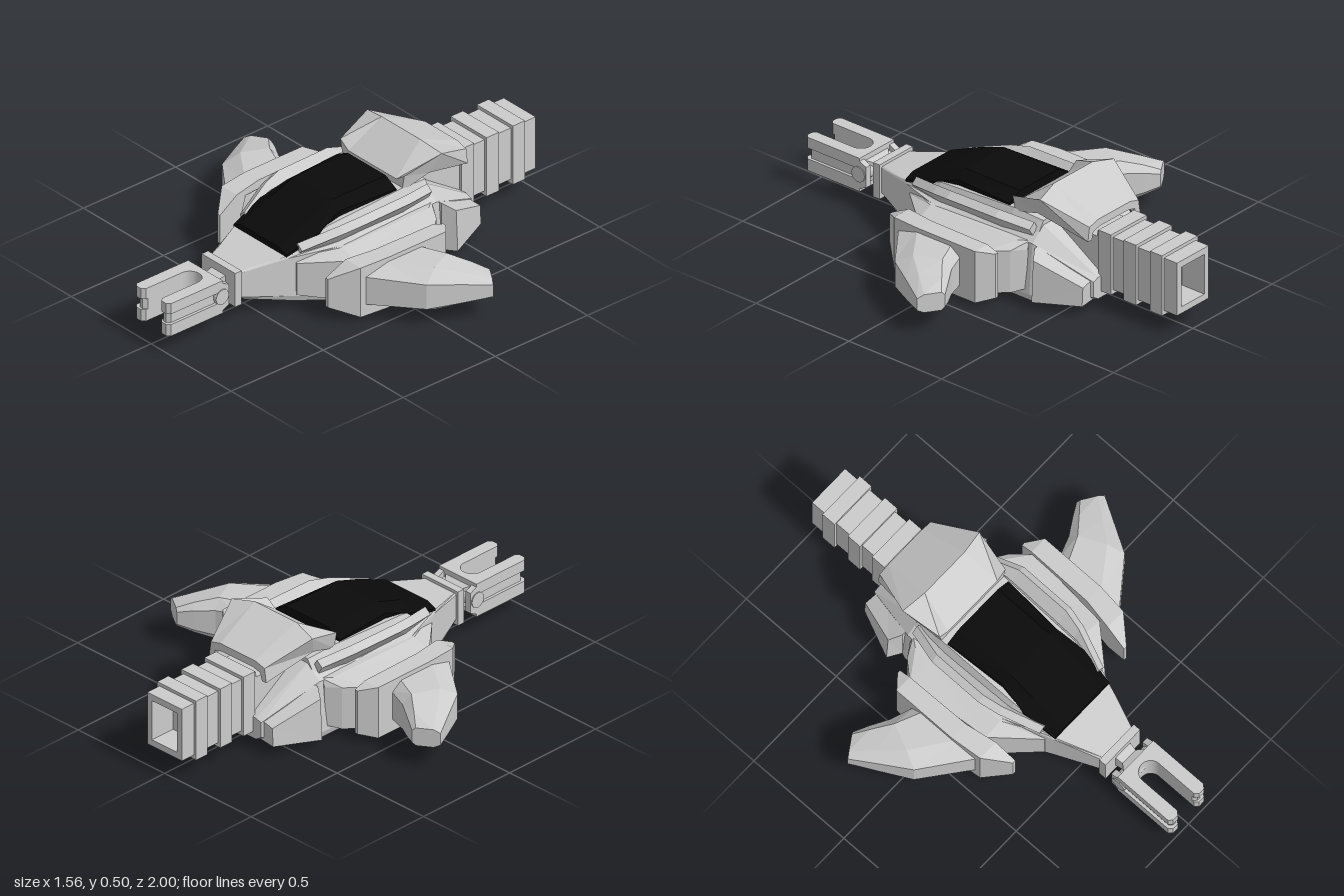
import * as THREE from 'three';

const grey = new THREE.MeshStandardMaterial({ color: 0xcccccc, flatShading: true, side: THREE.DoubleSide });
const black = new THREE.MeshStandardMaterial({ color: 0x0a0a0a, flatShading: true, side: THREE.DoubleSide });

// Joins matching closed sections (even point count) into a faceted solid with capped ends
function loft(sections) {
  const tris = [];
  const quad = (a, b, c, d) => tris.push(a, b, c, a, c, d);
  const n = sections[0].length;
  for (let k = 0; k < sections.length - 1; k++) {
    const p = sections[k], q = sections[k + 1];
    for (let i = 0; i < n; i++) quad(p[i], p[(i + 1) % n], q[(i + 1) % n], q[i]);
  }
  const first = sections[0], last = sections[sections.length - 1];
  for (let i = 0; i < n / 2 - 1; i++) {
    const j = n - 1 - i;
    quad(first[i], first[j], first[j - 1], first[i + 1]);
    quad(last[i], last[i + 1], last[j - 1], last[j]);
  }
  // Turn the faces outward if the volume comes out negative
  const v = tris.map((p) => new THREE.Vector3(...p));
  let volume = 0;
  const cross = new THREE.Vector3();
  for (let i = 0; i < v.length; i += 3) volume += v[i].dot(cross.crossVectors(v[i + 1], v[i + 2]));
  if (volume < 0) for (let i = 0; i < v.length; i += 3) [v[i + 1], v[i + 2]] = [v[i + 2], v[i + 1]];
  const g = new THREE.BufferGeometry().setFromPoints(v);
  g.computeVertexNormals();
  return g;
}

// Symmetric section at z from the right half of its outline, listed bottom to top
const mirrored = (z, half) => [
  ...half.map(([x, y]) => [x, y, z]),
  ...half.slice().reverse().map(([x, y]) => [-x, y, z]),
];
// Four-cornered section at z
const rect = (z, x0, x1, y0, y1) => [[x0, y0, z], [x1, y0, z], [x1, y1, z], [x0, y1, z]];

export function createModel() {
  const model = new THREE.Group();
  const add = (name, geometry, material = grey, parent = model) => {
    const mesh = new THREE.Mesh(geometry, material);
    mesh.name = name;
    parent.add(mesh);
    return mesh;
  };
  const box = (name, x0, x1, y0, y1, z0, z1, parent) => add(name,
    new THREE.BoxGeometry(x1 - x0, y1 - y0, z1 - z0)
      .translate((x0 + x1) / 2, (y0 + y1) / 2, (z0 + z1) / 2), grey, parent);

  // Hull with a flat keel, tapering to the nose
  add('hull', loft([
    mirrored(0.61, [[0.08, 0.1], [0.09, 0.11], [0.09, 0.22], [0.08, 0.225]]),
    mirrored(0.4, [[0.16, 0.045], [0.17, 0.07], [0.17, 0.25], [0.165, 0.26]]),
    mirrored(0.18, [[0.25, 0], [0.26, 0.03], [0.25, 0.26], [0.21, 0.27]]),
    mirrored(-0.34, [[0.25, 0], [0.26, 0.03], [0.24, 0.26], [0.17, 0.32]]),
    mirrored(-0.6, [[0.13, 0.05], [0.16, 0.07], [0.16, 0.14], [0.13, 0.15]]),
  ]));

  // Cabin walls under the canopy
  add('cabin', loft([
    mirrored(0.4, [[0.17, 0.245], [0.16, 0.265]]),
    mirrored(0.2, [[0.22, 0.26], [0.185, 0.335]]),
    mirrored(-0.2, [[0.23, 0.26], [0.19, 0.36]]),
    mirrored(-0.34, [[0.22, 0.26], [0.17, 0.34]]),
  ]));

  // Faceted dark canopy
  add('canopy', loft([
    mirrored(0.41, [[0.165, 0.255], [0.165, 0.265], [0.12, 0.285]]),
    mirrored(0.25, [[0.185, 0.3], [0.185, 0.32], [0.12, 0.355]]),
    mirrored(0.12, [[0.165, 0.31], [0.165, 0.365], [0.12, 0.4]]),
    mirrored(-0.17, [[0.185, 0.31], [0.185, 0.365], [0.12, 0.4]]),
  ]), black);

  // Bent cowl behind the canopy, hollow underneath
  const cowl = (z, outer, inner) => {
    const span = (half) => [
      ...half.map(([x, y, dz = 0]) => [-x, y, z + dz]),
      ...half.slice().reverse().map(([x, y, dz = 0]) => [x, y, z + dz]),
    ];
    return [...span(outer), ...span(inner).reverse()];
  };
  add('rearCowl', loft([
    cowl(-0.2, [[0.185, 0.34], [0.2, 0.42], [0.15, 0.385]], [[0.17, 0.34], [0.165, 0.36], [0.13, 0.35]]),
    cowl(-0.355, [[0.2, 0.385, 0.02], [0.233, 0.475, -0.02], [0.12, 0.5]],
      [[0.18, 0.385, 0.02], [0.2, 0.445, -0.02], [0.11, 0.465]]),
    cowl(-0.575, [[0.165, 0.32], [0.155, 0.385], [0.1, 0.4]], [[0.14, 0.32], [0.13, 0.355], [0.09, 0.365]]),
  ]));

  for (const s of [1, -1]) {
    const side = new THREE.Group();
    side.name = s > 0 ? 'leftSide' : 'rightSide';
    model.add(side);
    const sideLoft = (name, sections) =>
      add(name, loft(sections.map((sec) => sec.map(([x, y, z]) => [s * x, y, z]))), grey, side);

    // Flared rail beside the canopy
    const rail = (z, x, y, w, h) => [[x, y, z], [x + w, y + h, z], [x + w - 0.03, y + h + 0.025, z], [x - 0.03, y + 0.025, z]];
    sideLoft('canopyRail', [
      rail(0.35, 0.175, 0.255, 0.02, 0.02), rail(0.18, 0.22, 0.265, 0.04, 0.055),
      rail(0.09, 0.22, 0.265, 0.06, 0.07), rail(-0.17, 0.22, 0.265, 0.06, 0.075),
      rail(-0.32, 0.21, 0.275, 0.025, 0.04),
    ]);

    // Shoulder joining hull and wing
    const shoulder = (z, x, y0, y1, top) => [[0.12, y0, z], [x, y0, z], [x, y1, z], [Math.min(x - 0.02, 0.26), top, z], [0.12, top, z], [0.12, (y0 + y1) / 2, z]];
    sideLoft('shoulder', [
      shoulder(0.37, 0.185, 0.07, 0.22, 0.24), shoulder(0.19, 0.345, 0.04, 0.235, 0.26),
      shoulder(-0.2, 0.38, 0.04, 0.235, 0.265), shoulder(-0.28, 0.31, 0.04, 0.235, 0.265),
      shoulder(-0.32, 0.25, 0.05, 0.23, 0.265),
    ]);

    // Band around the wing root, pointed at the front
    sideLoft('wingBand', [
      rect(0.34, 0.33, 0.345, 0.07, 0.205), rect(0.24, 0.34, 0.435, 0.025, 0.26),
      rect(0.1, 0.365, 0.45, 0.025, 0.265), rect(-0.21, 0.37, 0.45, 0.025, 0.265),
      rect(-0.265, 0.37, 0.385, 0.04, 0.245),
    ]);

    // Swept wing: leading and trailing points, half height, edge half height, chamfer
    const wing = (xf, zf, xb, zb, h, e, c) => {
      const at = (t, y) => [xf + (xb - xf) * t, 0.143 + y, zf + (zb - zf) * t];
      return [at(0, -e), at(c, -h), at(1 - c / 2, -h), at(1, -e), at(1, e), at(1 - c / 2, h), at(c, h), at(0, e)];
    };
    sideLoft('wing', [
      wing(0.43, 0.22, 0.43, -0.12, 0.102, 0.065, 0.3),
      wing(0.64, 0.06, 0.54, -0.16, 0.1, 0.058, 0.32),
      wing(0.71, -0.06, 0.62, -0.21, 0.072, 0.045, 0.3),
      wing(0.78, -0.18, 0.68, -0.245, 0.042, 0.028, 0.25),
    ]);

    // Angled pod at the stern
    sideLoft('sternPod', [
      [[0.12, 0.03, -0.36], [0.25, 0.03, -0.36], [0.25, 0.25, -0.36], [0.12, 0.25, -0.36]],
      [[0.12, 0.03, -0.39], [0.31, 0.035, -0.395], [0.3, 0.225, -0.395], [0.12, 0.25, -0.39]],
      [[0.1, 0.05, -0.58], [0.225, 0.05, -0.595], [0.22, 0.135, -0.595], [0.1, 0.15, -0.58]],
    ]);
  }

  // Ribbed square exhaust duct with an open end
  const duct = new THREE.Group();
  duct.name = 'exhaustDuct';
  model.add(duct);
  box('ductCore', -0.1, 0.1, 0.1, 0.32, -0.59, -0.32, duct);
  box('ductBody', -0.1, 0.1, 0.1, 0.345, -0.88, -0.57, duct);
  for (const z of [-0.655, -0.79, -0.93]) {
    if (z > -0.9) box('ductRib', -0.113, 0.113, 0.08, 0.36, z, z + 0.068, duct);
  }
  const frame = (w, y0, y1) => {
    const hole = new THREE.Path([[-0.072, 0.13], [-0.072, 0.315], [0.072, 0.315], [0.072, 0.13]].map((p) => new THREE.Vector2(...p)));
    const shape = new THREE.Shape([[-w, y0], [w, y0], [w, y1], [-w, y1]].map((p) => new THREE.Vector2(...p)));
    shape.holes.push(hole);
    return shape;
  };
  add('ductMouth', new THREE.ExtrudeGeometry(frame(0.1, 0.1, 0.345), { depth: 0.13, bevelEnabled: false })
    .translate(0, 0, -1), grey, duct);
  add('ductRib', new THREE.ExtrudeGeometry(frame(0.113, 0.08, 0.36), { depth: 0.065, bevelEnabled: false })
    .translate(0, 0, -0.93), grey, duct);

  // Nose collar and swivel joint
  box('noseCollar', -0.105, 0.105, 0.08, 0.24, 0.6, 0.635);
  add('jointNeck', loft([rect(0.63, -0.045, 0.045, 0.115, 0.205), rect(0.67, -0.04, 0.04, 0.125, 0.195), rect(0.715, -0.08, 0.08, 0.1, 0.215)]));
  add('jointPin', new THREE.CylinderGeometry(0.035, 0.035, 0.225, 20).rotateZ(Math.PI / 2).translate(0, 0.16, 0.71));

  // Forked gripper in three layers, the middle one recessed as a side groove
  const fork = new THREE.Group();
  fork.name = 'gripper';
  model.add(fork);
  const forkLayer = (y0, y1, w, end) => {
    const shape = new THREE.Shape();
    shape.moveTo(-w, 0.705);
    shape.lineTo(w, 0.705);
    shape.lineTo(w, end - 0.015);
    shape.lineTo(w - 0.015, end);
    shape.lineTo(0.065, end);
    shape.lineTo(0.05, end - 0.015);
    shape.lineTo(0.05, 0.79);
    shape.absarc(0, 0.79, 0.05, 0, Math.PI, true);
    shape.lineTo(-0.05, end - 0.015);
    shape.lineTo(-0.065, end);
    shape.lineTo(-w + 0.015, end);
    shape.lineTo(-w, end - 0.015);
    add('forkLayer', new THREE.ExtrudeGeometry(shape, { depth: y1 - y0, bevelEnabled: false, curveSegments: 12 })
      .rotateX(Math.PI / 2).translate(0, y1, 0), grey, fork);
  };
  forkLayer(0.08, 0.135, 0.108, 1);
  forkLayer(0.135, 0.185, 0.095, 0.99);
  forkLayer(0.185, 0.235, 0.108, 1);
  for (const s of [1, -1]) {
    add('forkEar', loft([
      rect(0.67, s * 0.08, s * 0.108, 0.11, 0.205), rect(0.735, s * 0.08, s * 0.108, 0.08, 0.235),
    ]), grey, fork);
  }
  return model;
}
